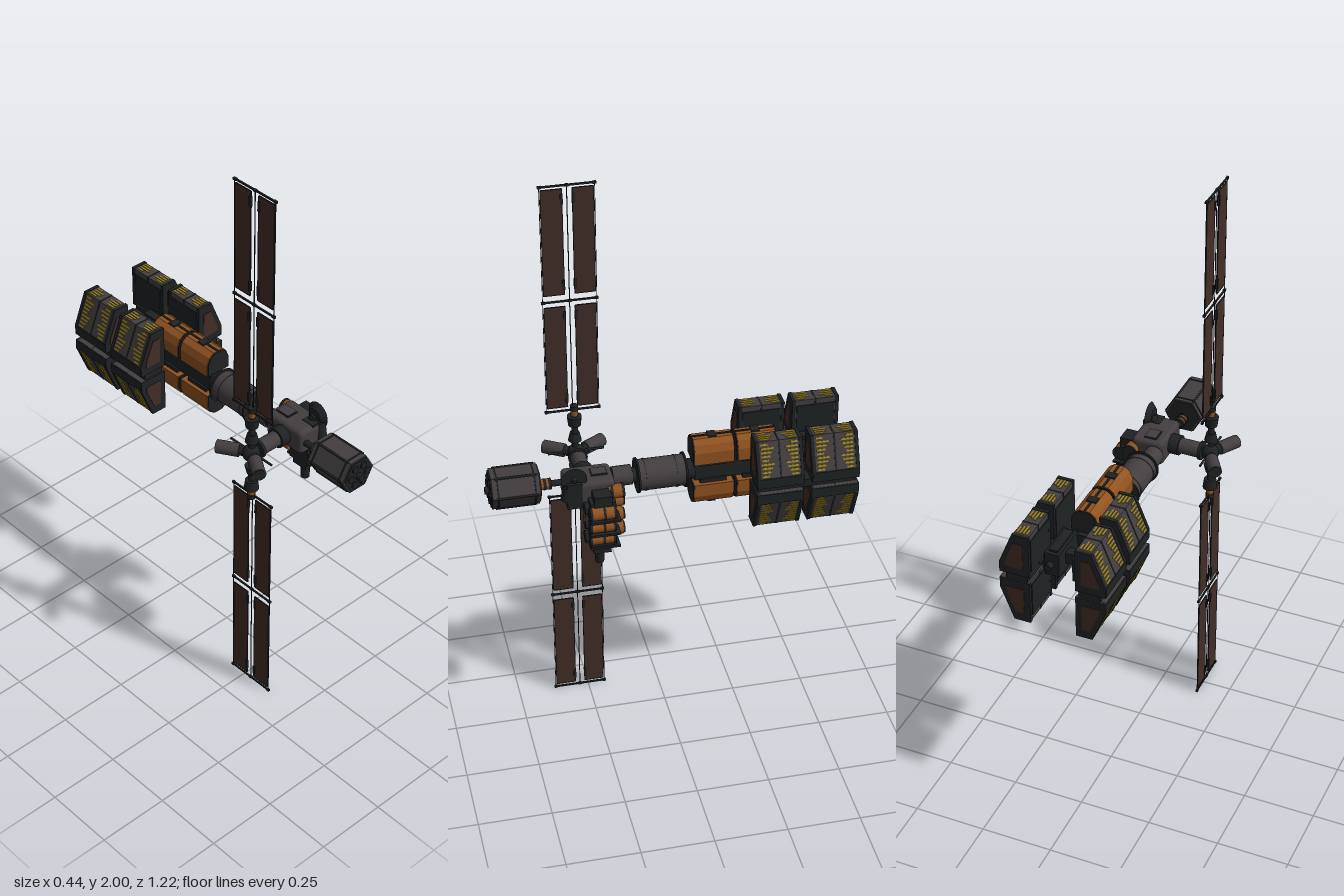
import * as THREE from 'three';
import { RoundedBoxGeometry } from 'three/addons/geometries/RoundedBoxGeometry.js';

const mat = (name, color) => Object.assign(new THREE.MeshStandardMaterial({ color }), { name });

export function createModel() {
  const grey = mat('hull grey', 0x433e40);
  const dark = mat('frame black', 0x1f2224);
  const orange = mat('foil orange', 0x905220);
  const yellow = mat('marking yellow', 0x9c861a);
  const brown = mat('panel brown', 0x422d26);

  const root = new THREE.Group();
  root.name = 'spaceStation';
  let target = root;
  const group = (name) => {
    target = new THREE.Group();
    target.name = name;
    root.add(target);
  };
  const add = (name, geo, m, x = 0, y = 0, z = 0) => {
    const mesh = new THREE.Mesh(geo, m);
    mesh.name = name;
    mesh.position.set(x, y, z);
    target.add(mesh);
    return mesh;
  };
  const box = (name, m, x, y, z, w, h, d) => add(name, new THREE.BoxGeometry(w, h, d), m, x, y, z);
  // cylinder between two points
  const rod = (name, m, a, b, r, r2 = r, sides = 20) => {
    const A = new THREE.Vector3(...a), B = new THREE.Vector3(...b), d = B.clone().sub(A);
    const mesh = add(name, new THREE.CylinderGeometry(r2, r, d.length(), sides), m);
    mesh.position.copy(A).add(B).multiplyScalar(0.5);
    mesh.quaternion.setFromUnitVectors(new THREE.Vector3(0, 1, 0), d.normalize());
    return mesh;
  };
  // prism along z from a profile in x and y
  const prism = (name, m, pts, z0, z1, x = 0, y = 0) => {
    const shape = new THREE.Shape(pts.map(p => new THREE.Vector2(...p)));
    return add(name, new THREE.ExtrudeGeometry(shape, { depth: z1 - z0, bevelEnabled: false }), m, x, y, z0);
  };

  const CX = 0.035; // main axis

  // Solar wings: two strips by two bays above and below
  group('solarWings');
  const PX = -0.145, MZ = 0.28;
  for (const s of [1, -1]) {
    const Y = v => 1 + s * v;
    for (const [a, b] of [[0.185, 0.565], [0.61, 0.985]]) {
      const mid = Y((a + b) / 2);
      for (const [z0, z1] of [[0.296, 0.364], [0.195, 0.262]]) {
        box('solarPanel', brown, PX, mid, (z0 + z1) / 2, 0.003, b - a, z1 - z0);
        for (const e of [z0, z1]) box('panelEdge', dark, PX, mid, e, 0.004, b - a, 0.003);
        for (const e of [a, b]) box('panelEnd', dark, PX, Y(e), (z0 + z1) / 2, 0.004, 0.003, z1 - z0);
        for (const e of [a + 0.035, b - 0.035])
          box('panelHinge', dark, PX, Y(e), z0 < MZ ? z1 - 0.002 : z0 + 0.002, 0.008, 0.035, 0.009);
      }
    }
    for (const v of [0.17, 0.585, 0.997]) {
      box('crossBar', dark, PX, Y(v), 0.28, 0.005, 0.006, 0.178);
      for (const z of [0.192, 0.28, 0.367]) box('barJoint', dark, PX, Y(v), z, 0.008, 0.008, 0.012);
    }
    for (const z of [0.191, 0.368]) box('sideWire', dark, PX, Y(0.583), z, 0.002, 0.825, 0.002);
    box('wingMast', dark, PX, Y(0.5), MZ, 0.002, 0.99, 0.003);
    // wing root
    rod('rootMast', dark, [PX, Y(0.02), MZ - 0.005], [PX, Y(0.18), MZ - 0.005], 0.011);
    rod('rootJoint', orange, [PX, Y(0.15), MZ - 0.005], [PX, Y(0.168), MZ - 0.005], 0.0125);
    rod('rootCap', dark, [PX, Y(0.168), MZ - 0.005], [PX, Y(0.186), MZ - 0.005], 0.014);
    rod('rootCollar', dark, [PX, Y(0.11), MZ - 0.005], [PX, Y(0.145), MZ - 0.005], 0.021, 0.025);
    rod('rootCollar', dark, [PX, Y(0.05), MZ - 0.005], [PX, Y(0.08), MZ - 0.005], 0.023, 0.016);
  }

  // Side arm carrying the wings, with two splayed pods
  group('sideArm');
  rod('armTube', grey, [-0.115, 1, 0.272], [-0.035, 1, 0.272], 0.027);
  rod('armCollar', dark, [-0.037, 1, 0.272], [0, 1, 0.272], 0.035);
  rod('armFlange', dark, [-0.118, 1, 0.272], [-0.108, 1, 0.272], 0.033);
  add('armHub', new THREE.SphereGeometry(0.03, 20, 14), dark, PX, 1, 0.272);
  for (const s of [1, -1]) {
    const Z = v => 0.272 + s * v;
    rod('pod', grey, [-0.163, 1, Z(0.035)], [-0.203, 1, Z(0.1)], 0.023);
    rod('podNeck', dark, [-0.145, 1, Z(0.005)], [-0.166, 1, Z(0.04)], 0.017);
    rod('podCap', dark, [-0.201, 1, Z(0.097)], [-0.204, 1, Z(0.102)], 0.02);
    rod('hubWhisker', dark, [PX, 1.005, Z(0.02)], [PX, 1.005, Z(0.095)], 0.004);
  }

  // Node, dish and connectors
  group('centralNode');
  add('node', new RoundedBoxGeometry(0.115, 0.09, 0.165, 3, 0.016), grey, 0.055, 1.0, 0.272);
  box('nodeHatchRim', dark, 0.05, 1.045, 0.235, 0.046, 0.004, 0.056);
  box('nodeHatch', grey, 0.05, 1.047, 0.235, 0.038, 0.004, 0.048);
  box('nodeBelt', dark, 0.085, 1, 0.325, 0.06, 0.094, 0.05);
  rod('rearConnector', grey, [0.025, 1, 0.12], [0.025, 1, 0.185], 0.034);
  rod('rearConnectorRing', dark, [0.025, 1, 0.18], [0.025, 1, 0.195], 0.028);
  rod('rearNeck', dark, [0.03, 1, 0.1], [0.03, 1, 0.125], 0.026);
  rod('dish', dark, [0.085, 1.06, 0.325], [0.103, 1.06, 0.325], 0.025, 0.043, 28);
  rod('dishFeed', dark, [0.1, 1.06, 0.325], [0.116, 1.06, 0.325], 0.012, 0.006);
  rod('dishPost', dark, [0.08, 1.02, 0.31], [0.09, 1.06, 0.325], 0.015);
  rod('dishSupport', dark, [0.095, 0.98, 0.35], [0.095, 1.04, 0.34], 0.02);

  // Front hexagonal module
  group('frontModule');
  const FX = 0.021, FY = 1.01;
  const hex = r => Array.from({ length: 6 }, (_, i) => [r * Math.cos(i * Math.PI / 3), r * Math.sin(i * Math.PI / 3)]);
  prism('moduleHull', grey, hex(0.068), 0.432, 0.59, FX, FY);
  for (const z of [0.445, 0.568]) prism('moduleRing', dark, hex(0.071), z, z + 0.005, FX, FY);
  for (const z of [0.428, 0.588]) prism('moduleFace', dark, hex(0.062), z, z + 0.006, FX, FY);
  for (let i = 0; i < 6; i++) {
    const a = i * Math.PI / 3, c = Math.cos(a), s = Math.sin(a);
    rod('moduleRail', dark, [FX + 0.067 * c, FY + 0.067 * s, 0.44], [FX + 0.067 * c, FY + 0.067 * s, 0.578], 0.004, 0.004, 8);
    rod('facePort', dark, [FX + 0.036 * c, FY + 0.036 * s, 0.588], [FX + 0.036 * c, FY + 0.036 * s, 0.599], 0.013);
  }
  rod('moduleTip', dark, [FX, 1.005, 0.59], [FX, 1.005, 0.608], 0.013);
  rod('moduleNeck', orange, [0.02, 1, 0.39], [0.02, 1, 0.432], 0.018);
  for (const z of [0.388, 0.405, 0.422]) rod('neckStrap', dark, [0.02, 1, z], [0.02, 1, z + 0.009], 0.0195);
  rod('moduleNeckTube', dark, [0.02, 1, 0.35], [0.02, 1, 0.392], 0.011);

  // Service unit hanging from the node
  group('serviceUnit');
  box('unitCore', dark, 0.13, 0.9, 0.24, 0.055, 0.18, 0.085);
  box('unitArm', dark, 0.125, 0.995, 0.24, 0.075, 0.045, 0.06);
  for (const [i, y] of [0.957, 0.9, 0.845].entries()) {
    const x = 0.164 - i * 0.011;
    rod('outerTank', orange, [x, y, 0.205], [x, y, 0.28], 0.022);
    for (const z of [0.2, 0.235, 0.279]) rod('tankStrap', dark, [x, y, z], [x, y, z + 0.008], 0.0235);
    rod('rearTank', orange, [0.11, y + 0.01, 0.168], [0.11, y + 0.01, 0.2], 0.023);
    rod('rearTankCap', dark, [0.11, y + 0.01, 0.162], [0.11, y + 0.01, 0.169], 0.02);
    rod('frontTank', dark, [0.125, y, 0.265], [0.125, y, 0.298], 0.021);
    box('tankGap', dark, 0.15 - i * 0.008, y - 0.028, 0.235, 0.06, 0.008, 0.1);
  }
  rod('topTank', orange, [0.108, 1.0, 0.168], [0.108, 1.0, 0.215], 0.024);
  for (const z of [0.162, 0.2]) rod('topTankStrap', dark, [0.108, 1.0, z], [0.108, 1.0, z + 0.008], 0.0255);
  box('unitFrontPatch', orange, 0.125, 0.925, 0.299, 0.012, 0.03, 0.004);
  box('unitSkirt', dark, 0.13, 0.81, 0.245, 0.055, 0.035, 0.06);
  rod('unitBoom', dark, [0.128, 0.82, 0.25], [0.126, 0.74, 0.25], 0.018, 0.015);

  // Main cylindrical module
  group('mainModule');
  rod('mainHull', grey, [CX, 1, -0.055], [CX, 1, 0.1], 0.053, 0.053, 28);
  for (const z of [-0.06, 0.1]) rod('mainFlange', dark, [CX, 1, z], [CX, 1, z + 0.006], 0.06, 0.06, 28);
  for (const z of [-0.03, 0.075]) rod('mainRing', grey, [CX, 1, z], [CX, 1, z + 0.005], 0.055, 0.055, 28);
  rod('mainNeck', dark, [CX, 1, -0.09], [CX, 1, -0.055], 0.035);

  // Spine with foil tanks above and below
  group('spine');
  box('spineBeam', dark, CX, 1, -0.225, 0.055, 0.06, 0.28);
  rod('spineEnd', dark, [CX, 1, -0.36], [CX, 1, -0.395], 0.011);
  box('spineTie', dark, CX, 1, -0.44, 0.06, 0.04, 0.036);
  for (const s of [1, -1]) {
    const tank = k => [[-0.048, 0.04], [0.048, 0.04], [0.048, 0.085], [0.037, 0.111], [0.018, 0.125],
      [-0.018, 0.125], [-0.037, 0.111], [-0.048, 0.085]].map(([x, y]) => [x * k, s * (0.08 + (y - 0.08) * k)]);
    for (const [a, b] of [[-0.215, -0.083], [-0.36, -0.23]]) {
      prism('foilTank', orange, tank(1), a, b, CX, 1);
      prism('tankCap', dark, tank(0.95), a - 0.004, b + 0.004, CX, 1);
      const m = (a + b) / 2;
      box('tankStrip', dark, CX, 1 + s * 0.126, m, 0.007, 0.004, b - a);
      box('tankClamp', dark, CX, 1 + s * 0.127, m, 0.034, 0.006, 0.028);
      box('tankBracket', dark, CX, 1 + s * 0.036, m, 0.07, 0.02, 0.09);
    }
    // equipment boxes flanking the spine end
    const x = CX + s * 0.048;
    box('equipmentBox', dark, x, 1, -0.435, 0.05, 0.085, 0.145);
    box('boxLid', dark, x, 1, -0.435, 0.03, 0.1, 0.12);
    rod('boxNozzle', dark, [x + s * 0.005, 1, -0.5], [x + s * 0.005, 1, -0.53], 0.012);
    box('containerClamp', dark, CX + s * 0.085, 1, -0.435, 0.04, 0.06, 0.13);
    box('containerRail', dark, CX + s * 0.125, 0.997, -0.435, 0.075, 0.028, 0.335);
  }

  // Eight wedge-shaped cargo containers
  group('cargoContainers');
  const CY = 0.996, tilt = Math.atan2(0.047, 0.115);
  for (const sx of [1, -1]) for (const sy of [1, -1]) for (const [z0, z1] of [[-0.608, -0.447], [-0.42, -0.262]]) {
    const wedge = g => [[0.081 - g, 0.012], [0.181 + g, 0.012], [0.181 + g, 0.05], [0.134 + g, 0.165 + g], [0.081 - g, 0.165 + g]]
      .map(([x, y]) => [x * sx, y * sy]);
    const X = v => CX + sx * v, Y = v => CY + sy * v, zm = (z0 + z1) / 2;
    prism('containerHull', grey, wedge(0), z0 + 0.004, z1 - 0.004, CX, CY);
    for (const z of [z0, z1 - 0.012]) prism('endFrame', dark, wedge(0.002), z, z + 0.012, CX, CY);
    prism('middleFrame', dark, wedge(0.001), zm - 0.003, zm + 0.003, CX, CY);
    box('lowerBand', dark, X(0.182), Y(0.031), zm, 0.004, 0.036, z1 - z0 - 0.01);
    box('innerPlate', dark, X(0.08), Y(0.085), zm, 0.005, 0.12, 0.13);
    // inset end panels
    const inset = [[0.1, 0.04], [0.162, 0.04], [0.162, 0.06], [0.13, 0.135], [0.1, 0.135]].map(([x, y]) => [x * sx, y * sy]);
    prism('endPanel', brown, inset, z0 - 0.002, z1 + 0.002, CX, CY);
    // marking bars in two columns on the slope and the outer end
    for (const e of [-1, 1]) {
      for (let i = 0; i < 9; i++) {
        const t = 0.06 + i * 0.107, len = 0.024 + (i * 5 % 4) * 0.006;
        const bar = box('markingBar', yellow, X(0.181 - 0.047 * t), Y(0.05 + 0.115 * t), zm + e * (0.062 - len / 2), 0.004, 0.0062, len);
        bar.rotation.z = tilt * sx * sy;
      }
      for (let i = 0; i < 4; i++) {
        const len = 0.026 + (i * 3 % 4) * 0.006;
        box('topMarking', yellow, X(0.092 + i * 0.011), Y(0.165), zm + e * (0.062 - len / 2), 0.006, 0.004, len);
      }
    }
  }
  return root;
}
